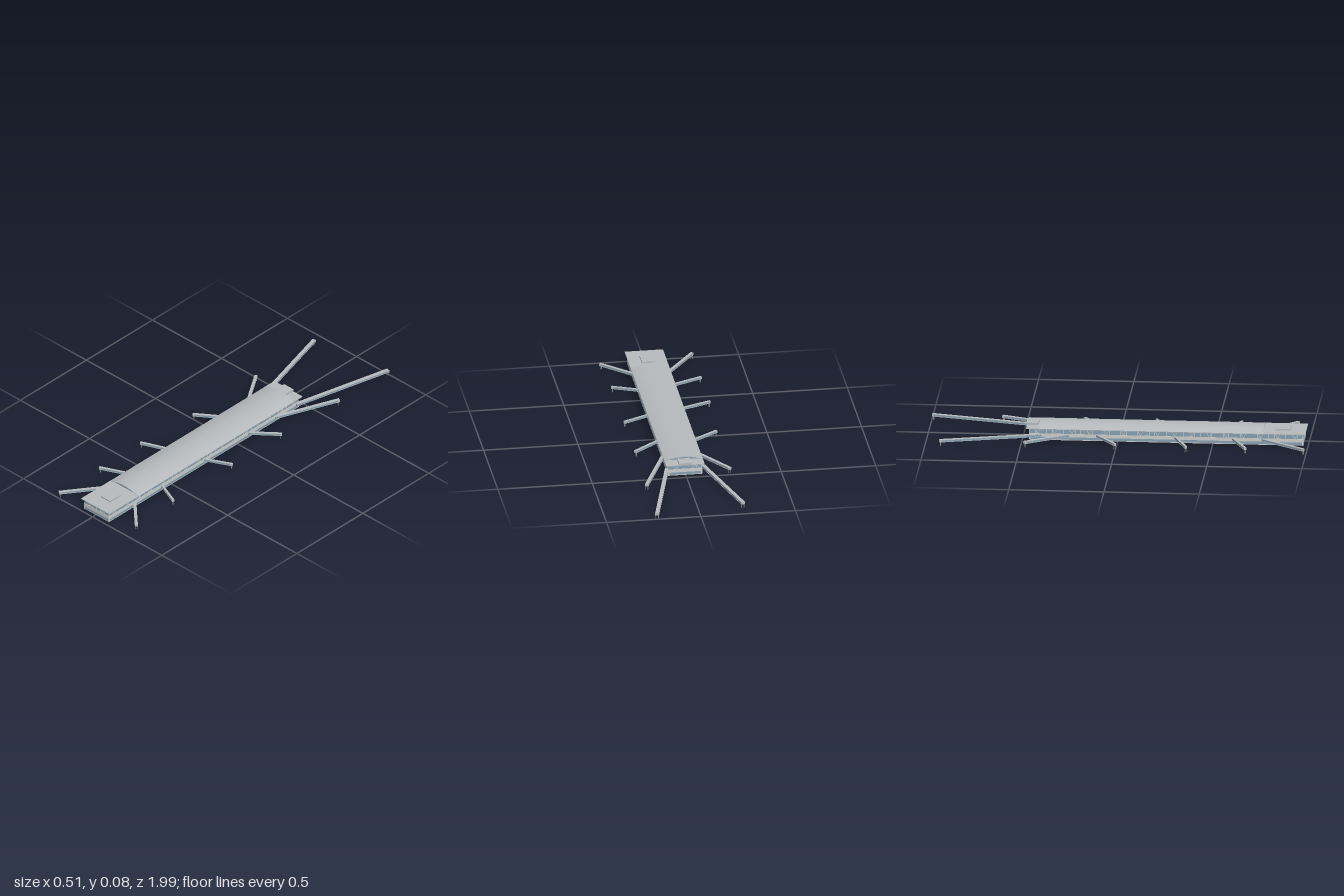
import * as THREE from 'three';
import { toCreasedNormals } from 'three/addons/utils/BufferGeometryUtils.js';

const mat = (name, color) => new THREE.MeshStandardMaterial({ name, color });

export function createModel() {
  const roofMat = mat('roof grey', 0xb6babd);
  const wallMat = mat('wall light grey', 0xcdcdcb);
  const glassMat = mat('blue glass', 0x86a0b2);
  const frameMat = mat('pale frame', 0xdadcdc);
  const legMat = mat('leg grey', 0x85898c);

  const model = new THREE.Group();
  model.name = 'terminal';
  const hall = new THREE.Group();
  hall.name = 'hall';
  hall.position.x = 0.0035;
  model.add(hall);

  // Box given by its minimum and maximum corners
  function box(parent, name, m, x0, x1, y0, y1, z0, z1) {
    const mesh = new THREE.Mesh(new THREE.BoxGeometry(x1 - x0, y1 - y0, z1 - z0), m);
    mesh.position.set((x0 + x1) / 2, (y0 + y1) / 2, (z0 + z1) / 2);
    mesh.name = name;
    parent.add(mesh);
    return mesh;
  }

  // Slim bar between two points
  function bar(parent, name, m, a, b, r) {
    const dir = b.clone().sub(a);
    const mesh = new THREE.Mesh(new THREE.CylinderGeometry(r, r, dir.length(), 4), m);
    mesh.position.copy(a).add(b).multiplyScalar(0.5);
    mesh.quaternion.setFromUnitVectors(new THREE.Vector3(0, 1, 0), dir.normalize());
    mesh.name = name;
    parent.add(mesh);
  }

  const HW = 0.091, T = 0.004;       // half width and wall thickness
  const ZB = -0.465, ZF = 0.975;     // back and front walls
  const SILL = 0.035, EAVE = 0.06;
  const VB = -0.415, VF = 0.765;     // ends of the vault
  const RW = 0.1015;                 // half width of the roof

  // One facade, built along its local x axis and facing local +z
  function facade(name, length, x, z, turn, panes, braces) {
    const g = new THREE.Group();
    g.name = name;
    g.position.set(x, 0, z);
    g.rotation.y = turn;
    hall.add(g);
    const h = length / 2;
    box(g, 'lowerWall', wallMat, -h, h, 0, SILL, -T, 0);
    box(g, 'lowerWindowBand', glassMat, -h + 0.008, h - 0.008, 0.004, 0.017, -0.001, 0.0008);
    box(g, 'upperGlass', glassMat, -h + 0.002, h - 0.002, SILL, EAVE, -T, -0.002);
    for (let i = 0; i <= panes; i++) {
      const px = -h + 0.003 + (length - 0.006) * i / panes;
      box(g, 'mullion', frameMat, px - 0.0007, px + 0.0007, SILL, EAVE, -0.003, -0.001);
    }
    // V-shaped struts
    for (let i = 0; i < braces; i++) {
      const px = -h + length * (i + 0.5) / braces;
      for (const s of [-1, 1]) {
        bar(g, 'strut', frameMat, new THREE.Vector3(px, SILL, 0),
          new THREE.Vector3(px + s * 0.014, EAVE, 0), 0.0014);
      }
    }
  }
  const len = ZF - ZB, mid = (ZF + ZB) / 2;
  facade('frontFacade', HW * 2, 0, ZF, 0, 6, 2);
  facade('backFacade', HW * 2, 0, ZB, Math.PI, 6, 2);
  facade('leftFacade', len, HW, mid, Math.PI / 2, 48, 16);
  facade('rightFacade', len, -HW, mid, -Math.PI / 2, 48, 16);

  // Flat roof ends and eaves
  box(hall, 'frontFlatRoof', roofMat, -RW, RW, EAVE, 0.0635, VF - 0.01, 0.985);
  box(hall, 'backFlatRoof', roofMat, -RW, RW, EAVE, 0.0635, -0.48, VB + 0.01);
  for (const s of [-1, 1]) {
    const e = s * (RW - 0.007);
    box(hall, 'eave', roofMat, e - 0.007, e + 0.007, EAVE, 0.0625, VB, VF);
  }

  // Vaulted roof: an arched strip drawn out along z
  const rise = (x, base, top) => base + (top - base) * (1 - (x / RW) ** 2);
  const N = 24;
  const arc = (base, top, w) => Array.from({ length: N + 1 }, (_, i) => {
    const x = w * (2 * i / N - 1);
    return new THREE.Vector2(x, rise(x, base, top));
  });
  const strip = new THREE.Shape([...arc(0.06, 0.079, RW), ...arc(0.063, 0.0825, RW).reverse()]);
  const vaultGeo = new THREE.ExtrudeGeometry(strip, { depth: VF - VB, bevelEnabled: false });
  const vault = new THREE.Mesh(toCreasedNormals(vaultGeo, 0.5), roofMat);
  vault.position.z = VB;
  vault.name = 'vaultedRoof';
  hall.add(vault);

  // Glazed gables closing the vault
  for (const [name, z, s] of [['frontGable', VF - 0.008, 1], ['backGable', VB + 0.008, -1]]) {
    const g = new THREE.Group();
    g.name = name;
    hall.add(g);
    const shape = new THREE.Shape(arc(0.0605, 0.0795, RW - 0.006));
    const pane = new THREE.Mesh(
      new THREE.ExtrudeGeometry(shape, { depth: 0.002, bevelEnabled: false }), glassMat);
    pane.position.z = z - 0.001;
    pane.name = 'gableGlass';
    g.add(pane);
    for (let i = -3; i <= 3; i++) {
      const x = i * 0.025, zc = z + s * 0.0015;
      box(g, 'gableMullion', frameMat, x - 0.0007, x + 0.0007, 0.062, rise(x, 0.06, 0.079), zc - 0.001, zc + 0.001);
    }
  }

  // Rooftop plant housings
  box(hall, 'frontRoofHousing', roofMat, -0.034, 0.034, 0.063, 0.0715, 0.825, 0.905);
  box(hall, 'backRoofHousing', roofMat, -0.034, 0.034, 0.063, 0.0745, -0.483, -0.42);

  // Boarding bridges: [wall x, wall z, tip x, tip z, width]
  const bridges = [
    [-0.095, -0.415, -0.235, -0.925, 0.02],
    [-0.095, -0.27, -0.233, -0.482, 0.016],
    [-0.095, -0.1, -0.233, -0.002, 0.014],
    [-0.095, 0.307, -0.255, 0.372, 0.013],
    [-0.095, 0.61, -0.255, 0.683, 0.013],
    [-0.095, 0.772, -0.253, 0.99, 0.016],
    [0.1, -0.455, 0.232, -0.997, 0.02],
    [0.1, -0.295, 0.232, -0.627, 0.018],
    [0.1, -0.09, 0.228, -0.197, 0.014],
    [0.1, 0.245, 0.23, 0.18, 0.012],
    [0.1, 0.575, 0.23, 0.63, 0.012],
    [0.1, 0.785, 0.245, 0.925, 0.016],
  ];
  for (const [x0, z0, x1, z1, w] of bridges) {
    const g = new THREE.Group();
    g.name = 'boardingBridge';
    const L = Math.hypot(x1 - x0, z1 - z0), h = w / 2;
    g.position.set(x0, 0, z0);
    g.rotation.y = Math.atan2(x1 - x0, z1 - z0);
    model.add(g);
    box(g, 'bridgeFloor', roofMat, -h, h, 0.02, 0.0225, -0.015, L);
    box(g, 'bridgeGlass', glassMat, -h + 0.001, h - 0.001, 0.0225, 0.031, -0.015, L - 0.012);
    box(g, 'bridgeRoof', roofMat, -h, h, 0.031, 0.0335, -0.015, L);
    box(g, 'bridgeCab', roofMat, -h, h, 0.0225, 0.031, L - 0.012, L);
    for (const s of [-1, 1]) {
      const lx = s * (h - 0.003);
      box(g, 'bridgeLeg', legMat, lx - 0.0015, lx + 0.0015, 0, 0.02, L - 0.008, L - 0.005);
    }
  }
  return model;
}
